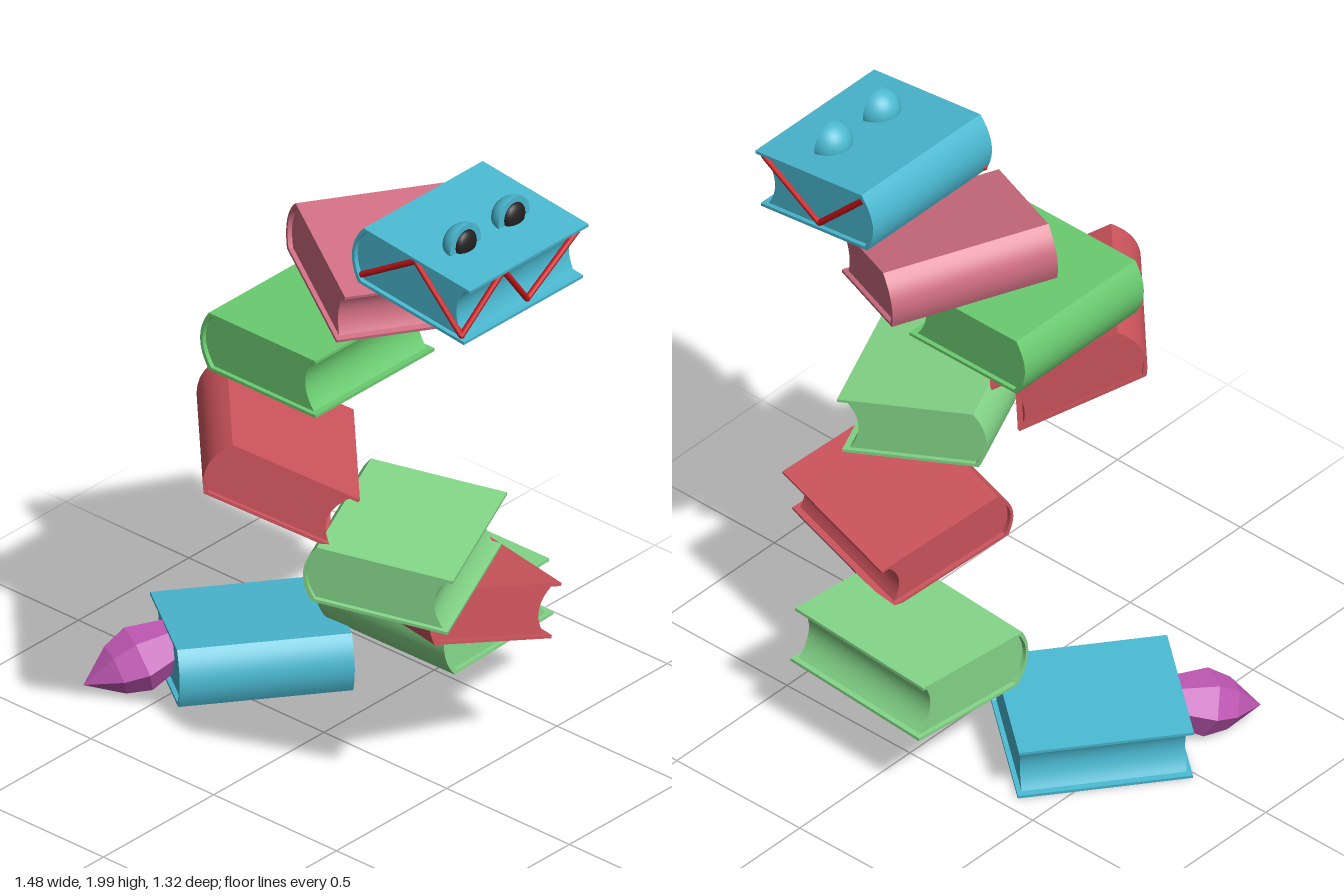
import * as THREE from 'three';
import { toCreasedNormals } from 'three/addons/utils/BufferGeometryUtils.js';

const V = (x, y, z) => new THREE.Vector3(x, y, z);
const paint = (color, extra = {}) => {
  const m = new THREE.MeshStandardMaterial({ color, ...extra });
  return m;
};
const BLUE = 0x4ab8d0, GREEN = 0x6acb70, LIGHT_GREEN = 0x84d688, RED = 0xcd545c, PINK = 0xd06e82;

function addMesh(parent, name, geometry, material) {
  const mesh = new THREE.Mesh(geometry, material);
  mesh.name = name;
  parent.add(mesh);
  return mesh;
}

// Extrude an outline in the x/y plane, centred along z
function slab(shape, length) {
  const g = new THREE.ExtrudeGeometry(shape, { depth: length, bevelEnabled: false, curveSegments: 12 });
  g.translate(0, 0, -length / 2);
  return toCreasedNormals(g, 0.6);
}

// Book lying flat: rounded spine at -x, open fore edge at +x
function makeBook(name, color, T, L = 0.54, W = 0.47) {
  const book = new THREE.Group();
  book.name = name;
  const h = T / 2, r = W / 2, t = 0.01, s = -r + 0.035;
  const material = paint(color);

  // Cover: two boards joined by a bulging spine
  const cover = new THREE.Shape();
  cover.moveTo(r, h);
  cover.lineTo(s, h);
  cover.quadraticCurveTo(s - 0.07, 0, s, -h);
  cover.lineTo(r, -h);
  cover.lineTo(r, -h + t);
  cover.lineTo(s + t, -h + t);
  cover.quadraticCurveTo(s - 0.07 + t, 0, s + t, h - t);
  cover.lineTo(r, h - t);
  cover.closePath();
  addMesh(book, 'cover', slab(cover, L), material);

  // Page block: same bulge at the spine, hollow fore edge, set in from the cover
  const p = h - t, f = r - 0.02;
  const pages = new THREE.Shape();
  pages.moveTo(f, p);
  pages.lineTo(s + t, p);
  pages.quadraticCurveTo(s - 0.07 + t, 0, s + t, -p);
  pages.lineTo(f, -p);
  pages.quadraticCurveTo(f - 0.07, 0, f, p);
  addMesh(book, 'pages', slab(pages, L - 0.03), material);
  return book;
}

// Turn a book so its local x runs along X and its spine along Z
function place(book, centre, X, Z) {
  const x = V(...X).normalize();
  const y = V(...Z).cross(x).normalize();
  const z = x.clone().cross(y);
  book.quaternion.setFromRotationMatrix(new THREE.Matrix4().makeBasis(x, y, z));
  book.position.set(...centre);
}

export function createModel() {
  const model = new THREE.Group();
  model.name = 'bookStack';

  // name, colour, thickness, centre, spine-to-fore-edge direction, spine direction
  const books = [
    ['tailBook', BLUE, 0.19, [-0.38, 0.13, -0.1], [-0.375, -0.05, -0.285], [0.33, 0, -0.43]],
    ['secondBook', LIGHT_GREEN, 0.2, [0.065, 0.35, -0.425], [0.015, 0.03, -0.47], [0.55, 0.02, 0.015]],
    ['thirdBook', RED, 0.18, [0.345, 0.605, -0.16], [0.12, -0.12, -0.44], [0.52, 0.04, 0.14]],
    ['fourthBook', LIGHT_GREEN, 0.195, [0.41, 0.872, 0.095], [0.42, -0.045, -0.19], [0.22, -0.01, 0.5]],
    ['fifthBook', RED, 0.19, [0.06, 1.16, 0.295], [0.29, -0.21, -0.28], [0.375, 0, 0.39]],
    ['sixthBook', GREEN, 0.2, [0, 1.44, 0.03], [1, 0, 0], [0, 0, 1]],
    ['seventhBook', PINK, 0.185, [0.148, 1.667, -0.165], [0.425, -0.11, 0.22], [-0.26, 0.04, 0.48]],
    ['headBook', BLUE, 0.2, [0.465, 1.828, -0.14], [0.46, -0.055, 0], [0, 0, 0.54]],
  ];
  let head;
  for (const [name, color, T, centre, X, Z] of books) {
    head = makeBook(name, color, T);
    place(head, centre, X, Z);
    model.add(head);
  }

  // Zigzag mouth around the three open sides of the head
  const mouth = new THREE.Group();
  mouth.name = 'mouth';
  head.add(mouth);
  const red = paint(0xcc1418);
  const m = 0.083;
  const zigzag = [
    [-0.207, -m, 0.257], [0.005, m, 0.257], [0.212, -m, 0.257],
    [0.212, m, 0.09], [0.212, -m, -0.04], [0.212, m, -0.257],
    [0.005, -m, -0.257], [-0.207, m, -0.257],
  ].map((p) => V(...p));
  for (let i = 0; i < zigzag.length - 1; i++) {
    const line = new THREE.LineCurve3(zigzag[i], zigzag[i + 1]);
    addMesh(mouth, 'mouthLine', new THREE.TubeGeometry(line, 1, 0.01, 8), red);
    addMesh(mouth, 'mouthCorner', new THREE.SphereGeometry(0.01, 8, 6).translate(...zigzag[i].toArray()), red);
  }

  // Eyes: half domes with a flat front and a dark bulging pupil
  for (const z of [-0.03, -0.25]) {
    const eye = new THREE.Group();
    eye.name = 'eye';
    eye.position.set(0.55, 1.93, z);
    model.add(eye);
    const skin = paint(BLUE);
    addMesh(eye, 'eyeDome', new THREE.SphereGeometry(0.07, 24, 16, 0, Math.PI).rotateY(-Math.PI / 2), skin);
    addMesh(eye, 'eyeFront', new THREE.CircleGeometry(0.07, 32).rotateY(Math.PI / 2), skin);
    const pupil = addMesh(eye, 'pupil', new THREE.SphereGeometry(0.045, 20, 14), paint(0x222222));
    pupil.scale.x = 0.5;
    pupil.position.y = 0.006;
  }

  // Faceted crystal at the tip of the tail
  const base = V(-0.535, 0.155, 0.08), tip = V(-0.675, 0.06, 0.34);
  const len = base.distanceTo(tip);
  const profile = [[0, 0], [0.075, 0], [0.105, 0.4], [0.08, 0.65], [0, 1]]
    .map(([r, k]) => new THREE.Vector2(r, k * len));
  const crystal = addMesh(model, 'tailCrystal', new THREE.LatheGeometry(profile, 6),
    paint(0xc058b4, { flatShading: true }));
  crystal.position.copy(base);
  crystal.quaternion.setFromUnitVectors(V(0, 1, 0), tip.clone().sub(base).normalize());

  return model;
}
